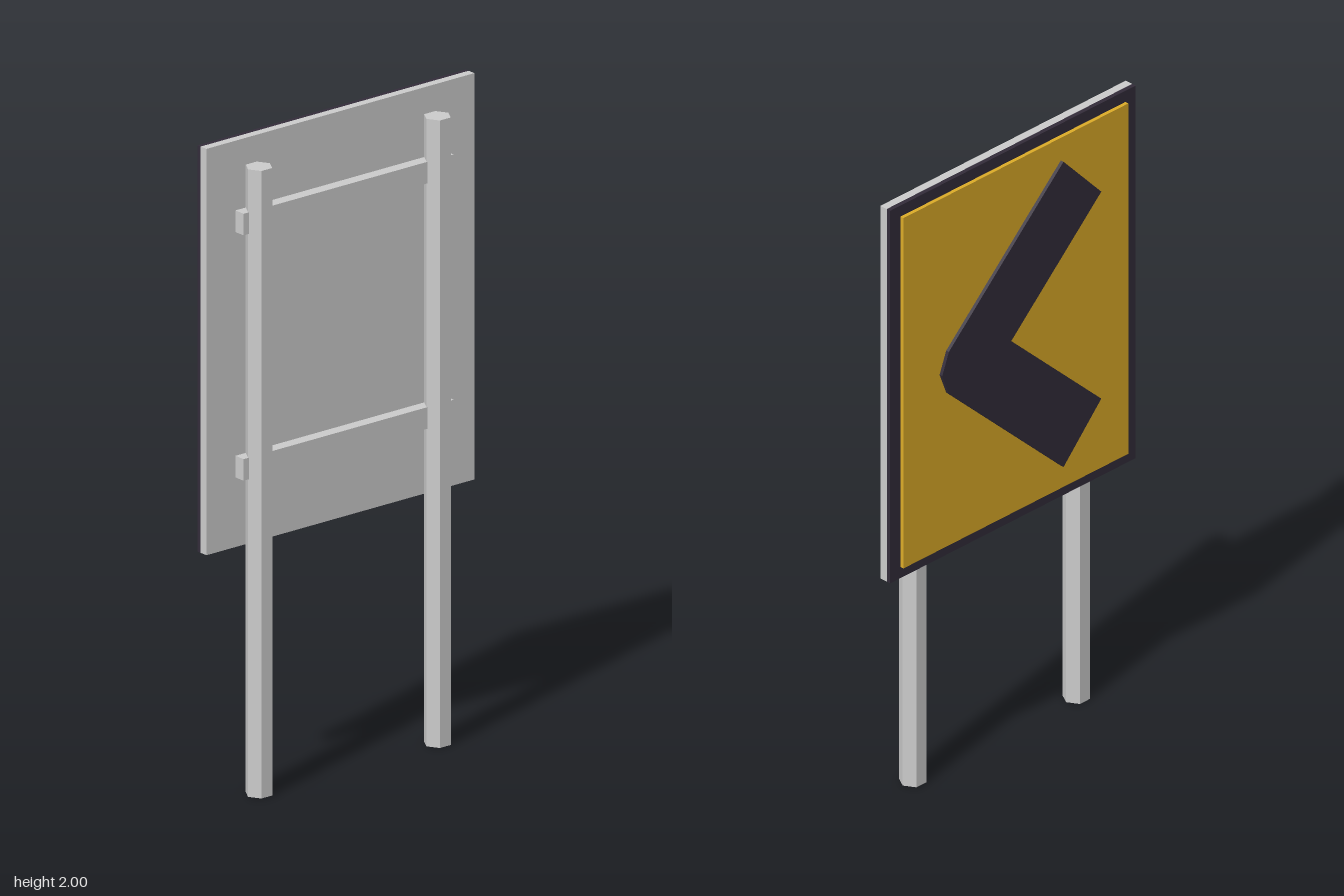
import * as THREE from 'three';

const material = (color) => new THREE.MeshStandardMaterial({ color, flatShading: true });

export function createModel() {
  const sign = new THREE.Group();
  sign.name = 'chevronRoadSign';

  const grey = material(0xcccccc);
  const black = material(0x332c3a);
  const yellow = material(0xdcab28);
  const midY = 1.379; // height of the panel centre

  const add = (name, geometry, mat, x, y, z) => {
    const mesh = new THREE.Mesh(geometry, mat);
    mesh.name = name;
    mesh.position.set(x, y, z);
    sign.add(mesh);
  };
  // Upright plate between two depths, centred on the panel
  const plate = (name, w, h, z0, z1, mat, y = midY) =>
    add(name, new THREE.BoxGeometry(w, h, z1 - z0), mat, 0, y, (z0 + z1) / 2);

  // Layered panel, sign face towards -z
  plate('backingBoard', 1, 1.242, -0.031, -0.005, grey);
  plate('border', 1, 1.242, -0.045, -0.031, black);
  plate('signFace', 0.917, 1.168, -0.057, -0.045, yellow);

  // Chevron with a blunted tip pointing to +x
  const outline = [
    [0.311, 0], [0.284, 0.07], [-0.183, 0.509], [-0.337, 0.345],
    [0.03, 0], [-0.337, -0.345], [-0.183, -0.509], [0.284, -0.07],
  ];
  const shape = new THREE.Shape(outline.map(([x, y]) => new THREE.Vector2(x, y)));
  const chevron = new THREE.ExtrudeGeometry(shape, { depth: 0.011, bevelEnabled: false });
  add('chevron', chevron, black, 0, midY, -0.068);

  // Horizontal mounting rails
  for (const [name, y] of [['upperRail', 1.754], ['lowerRail', 1.004]]) {
    plate(name, 0.784, 0.066, -0.005, 0.032, grey, y);
  }

  // Hexagonal posts, corners along x
  for (const [name, side] of [['leftPost', 1], ['rightPost', -1]]) {
    const post = new THREE.CylinderGeometry(0.0408, 0.0408, 1.918, 6, 1, false, Math.PI / 2);
    add(name, post, grey, side * 0.333, 0.959, 0.03);
  }

  return sign;
}
